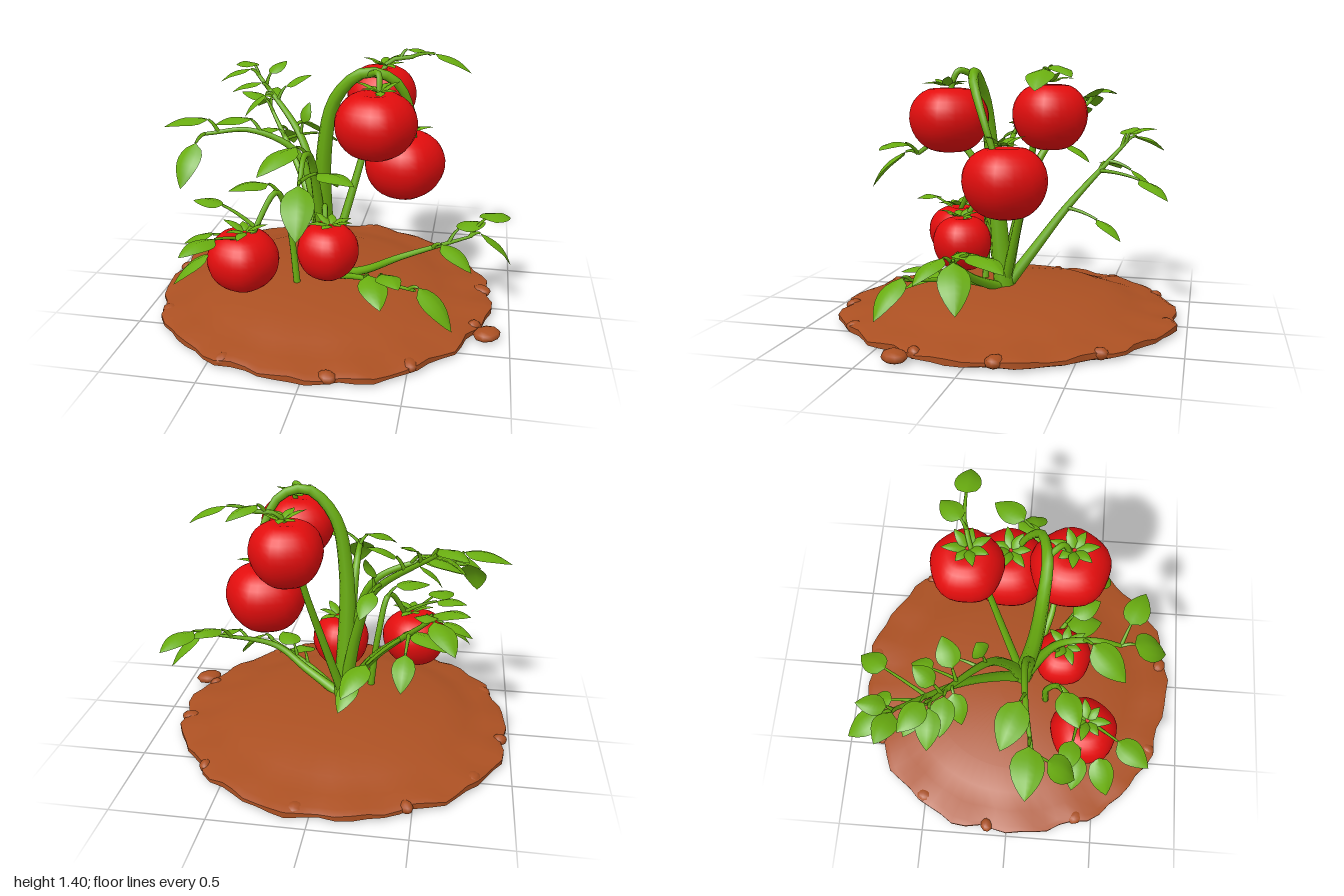
import * as THREE from 'three';
import { mergeVertices, toCreasedNormals, mergeGeometries } from 'three/addons/utils/BufferGeometryUtils.js';

const V = (x, y, z) => new THREE.Vector3(x, y, z);

const mat = (name, color, side = THREE.FrontSide) => {
  const m = new THREE.MeshStandardMaterial({ color, side });
  m.name = name;
  return m;
};

const add = (parent, name, geo, material) => {
  const mesh = new THREE.Mesh(geo, material);
  mesh.name = name;
  parent.add(mesh);
  return mesh;
};

// Tube along a curve, narrowing from r0 to r1
function taperedTube(curve, r0, r1, segments, sides) {
  const geo = new THREE.TubeGeometry(curve, segments, 1, sides);
  const p = geo.attributes.position, v = V(0, 0, 0);
  for (let i = 0; i < p.count; i++) {
    const t = Math.floor(i / (sides + 1)) / segments;
    const c = curve.getPointAt(t);
    v.fromBufferAttribute(p, i).sub(c).multiplyScalar(r0 + (r1 - r0) * t).add(c);
    p.setXYZ(i, v.x, v.y, v.z);
  }
  return geo;
}

// Pointed oval blade from base to tip, arched along its length and folded at the midrib
function blade(base, tip, width) {
  const dir = tip.clone().sub(base), len = dir.length();
  dir.normalize();
  const side = dir.clone().cross(V(0, 1, 0)).normalize();
  const up = side.clone().cross(dir);
  const pos = [], idx = [], n = 8, m = 4;
  for (let i = 0; i <= n; i++) {
    const t = i / n;
    const w = width / 2 * Math.pow(Math.max(0, Math.sin(Math.PI * Math.pow(t, 0.72))), 0.85);
    for (let j = 0; j <= m; j++) {
      const u = j / m * 2 - 1;
      const q = base.clone().addScaledVector(dir, t * len).addScaledVector(side, u * w)
        .addScaledVector(up, 0.12 * len * Math.sin(Math.PI * t) - Math.abs(u) * w * 0.3);
      pos.push(q.x, q.y, q.z);
      if (i < n && j < m) {
        const a = i * (m + 1) + j, b = a + m + 1;
        idx.push(a, a + 1, b, a + 1, b + 1, b);
      }
    }
  }
  const geo = new THREE.BufferGeometry();
  geo.setAttribute('position', new THREE.Float32BufferAttribute(pos, 3));
  geo.setIndex(idx);
  geo.computeVertexNormals();
  return geo;
}

// Join the seams of a reshaped geometry
function weld(geo) {
  geo.deleteAttribute('uv');
  geo.deleteAttribute('normal');
  const welded = mergeVertices(geo, 1e-4);
  welded.computeVertexNormals();
  return welded;
}

// Slightly lobed, flattened sphere with a dimple under the stalk
function fruitGeometry(r, h) {
  const geo = new THREE.SphereGeometry(1, 28, 18);
  const p = geo.attributes.position;
  for (let i = 0; i < p.count; i++) {
    const x = p.getX(i), y = p.getY(i), z = p.getZ(i), d = Math.hypot(x, z);
    const lobe = r * (1 + 0.025 * Math.cos(5 * Math.atan2(z, x))) * (1 + 0.06 * y * d);
    const dip = Math.exp(-d * d * 9) * (y > 0 ? 0.16 : -0.06);
    p.setXYZ(i, x * lobe, (y * (1 + 0.06 * d) - dip) * h, z * lobe);
  }
  return weld(geo);
}

// Low mound with an uneven edge and a flat underside
function soilGeometry() {
  const profile = [[0, 0], [0.9, 0], [0.935, 0.015], [0.935, 0.04], [0.9, 0.055], [0.8, 0.06],
    [0.68, 0.095], [0.53, 0.145], [0.1, 0.165], [0, 0.165]];
  const geo = new THREE.LatheGeometry(profile.map(([x, y]) => new THREE.Vector2(x, y)), 72);
  const p = geo.attributes.position;
  for (let i = 0; i < p.count; i++) {
    const x = p.getX(i), y = p.getY(i), z = p.getZ(i), r = Math.hypot(x, z), a = Math.atan2(z, x);
    const edge = Math.max(0, (r - 0.7) / 0.235);
    const k = 1 + edge * 0.012 * (Math.sin(13 * a) + Math.sin(22 * a + 1) + Math.sin(5 * a + 2));
    const shift = 0.05 + (y > 0.05 ? 0.09 * Math.max(0, 1 - r / 0.93) : 0);
    const ripple = y > 0.03 ? edge * 0.008 * Math.sin(17 * a) : 0;
    p.setXYZ(i, x * k - shift, y + ripple, z * k);
  }
  return toCreasedNormals(weld(geo), 0.7);
}

export function createModel() {
  const root = new THREE.Group();
  root.name = 'tomatoPlant';
  const green = mat('leaf green', 0x69ad10, THREE.DoubleSide);
  const red = mat('ripe red', 0xe30d0d);
  const brown = mat('soil brown', 0xab5022);

  // A stem along its path; each leaf tip gets a blade and a stalk growing out of the stem
  function branch(name, r0, r1, path, size = 0, tips = []) {
    const group = new THREE.Group();
    group.name = name;
    const curve = new THREE.CatmullRomCurve3(path.map(p => V(...p)));
    const samples = curve.getPoints(40);
    add(group, 'stem', taperedTube(curve, r0, r1, 28, 8), green);
    tips.forEach((p, i) => {
      const tip = V(...p), len = size * (1 - 0.15 * (i % 2));
      const cost = k => Math.abs(samples[k].distanceTo(tip) - len * 1.25) + k * 0.001;
      const best = samples.reduce((a, s, k) => (cost(k) < cost(a) ? k : a), 0);
      const from = samples[best], away = tip.distanceTo(from);
      const base = tip.clone().lerp(from, Math.min(0.9, len / away)).add(V(0, len * 0.25, 0));
      const stalk = new THREE.QuadraticBezierCurve3(from, from.clone().lerp(base, 0.5).add(V(0, 0.02, 0)), base);
      add(group, 'leafStalk', taperedTube(stalk, 0.012, 0.007, 6, 6), green);
      add(group, 'leaf', blade(base, tip, len * 0.66), green);
    });
    root.add(group);
  }

  // A fruit with a star of seven sepals
  function tomato(x, y, z, r, h) {
    const group = new THREE.Group();
    group.name = 'tomato';
    group.position.set(x, y, z);
    add(group, 'fruit', fruitGeometry(r, h), red);
    const sepals = [];
    for (let i = 0; i < 7; i++) {
      const a = i / 7 * Math.PI * 2 + x * 9, reach = 0.115 + 0.02 * Math.sin(i * 2.4 + x);
      const c = Math.cos(a), s = Math.sin(a);
      sepals.push(blade(V(c * 0.008, h * 0.9, s * 0.008),
        V(c * reach, h * (1.05 + 0.12 * Math.sin(i * 1.9 + x)), s * reach), 0.055));
    }
    add(group, 'calyx', mergeGeometries(sepals), green).position.set(0.02, 0.012, 0.01);
    root.add(group);
  }

  // A flattened lump on the rim of the soil
  function clod(angle, reach, size) {
    const mesh = add(root, 'soilClod', new THREE.SphereGeometry(1, 9, 6), brown);
    mesh.position.set(Math.cos(angle) * reach - 0.05, 0.033, Math.sin(angle) * reach);
    mesh.scale.set(size, 0.032, size * 0.8);
    mesh.rotation.y = angle * 2;
  }

  // Soil mound, lumps around its edge and one larger lump that juts out
  add(root, 'soil', soilGeometry(), brown);
  for (let i = 0; i < 11; i++) clod(i * 0.571 + 0.9 + 0.1 * Math.sin(i * 5), 0.9, 0.05 + 0.01 * Math.sin(i * 3));
  clod(0.35, 0.99, 0.08);

  // Leafy branches spreading from the foot of the plant
  const foot = [-0.04, 0.14, 0.03];
  branch('frontBranch', 0.04, 0.012, [foot, [-.08, .92, .25], [-.08, .98, .42], [-.07, .9, .55]], 0.25,
    [[-.03, .7, .82], [.22, .94, .67], [-.28, .92, .58]]);
  branch('rightSideBranch', 0.035, 0.01, [foot, [-.1, .6, .08], [-.2, .88, .05], [-.45, 1, .07], [-.7, .98, .12]], 0.26,
    [[-.94, 1, .1], [-.77, .74, .35], [-.7, .98, -.04]]);
  branch('leftSideBranch', 0.03, 0.008, [foot, [.2, .25, .14], [.4, .37, .19], [.76, .47, .08]], 0.24,
    [[.97, .48, -.22], [.84, .5, -.06], [.99, .28, 0], [.78, .35, .28]]);
  branch('leftFrontBranch', 0.022, 0.008, [foot, [.18, .23, .2], [.5, .3, .43]], 0.24,
    [[.7, .13, .52], [.42, .32, .48], [.33, .2, .5]]);
  branch('lowerBackBranch', 0.035, 0.01, [foot, [-.12, .35, -.12], [-.25, .6, -.3], [-.52, .95, -.6]], 0.2,
    [[-.72, 1.02, -.66], [-.52, 1.03, -.78], [-.66, .89, -.82], [-.42, .66, -.78], [-.15, .66, -.87],
      [-.1, .43, -.62], [-.62, .78, -.56]]);
  branch('upperBackBranch', 0.04, 0.01, [foot, [-.12, .6, -.05], [-.22, .9, -.15], [-.55, 1.22, -.4]], 0.19,
    [[-.7, 1.23, -.52], [-.38, 1.27, -.48], [-.68, 1.1, -.33], [-.58, .98, -.24], [-.2, 1.22, -.36],
      [-.18, .86, -.43], [-.76, 1.15, -.38], [-.18, 1.1, -.2]]);

  // Fruit-bearing stems
  branch('lowFruitBranch', 0.02, 0.014, [[-.18, .14, .18], [-.22, .5, .18], [-.27, .72, .25], [-.38, .5, .41]], 0.22,
    [[-.64, .54, .76], [-.77, .42, .35], [-.76, .28, .56], [-.72, .66, .3], [-.5, .75, .36]]);
  branch('topFruitBranch', 0.028, 0.012, [foot, [.14, .85, -.15], [.25, 1.33, -.26], [.38, 1.36, -.3]], 0.21,
    [[.71, 1.28, -.3], [.48, 1.34, -.43]]);
  branch('archedStem', 0.06, 0.015, [foot, [-.04, .9, .1], [.03, 1.22, .12], [.18, 1.36, .13], [.33, 1.32, .1],
    [.42, 1.12, .02], [.43, .94, -.04]]);
  branch('archSpur', 0.018, 0.014, [[.2, 1.35, .13], [.26, 1.37, .2], [.27, 1.24, .25]]);
  branch('centreFruitStalk', 0.02, 0.013, [[-.05, .42, .06], [-.02, .63, .18], [0, .5, .27]]);

  // Fruits
  tomato(.255, 1.12, .25, .21, .18);
  tomato(.215, 1.14, -.28, .193, .18);
  tomato(.375, .81, -.08, .22, .195);
  tomato(-.42, .385, .405, .19, .17);
  tomato(.01, .405, .26, .165, .16);
  return root;
}
